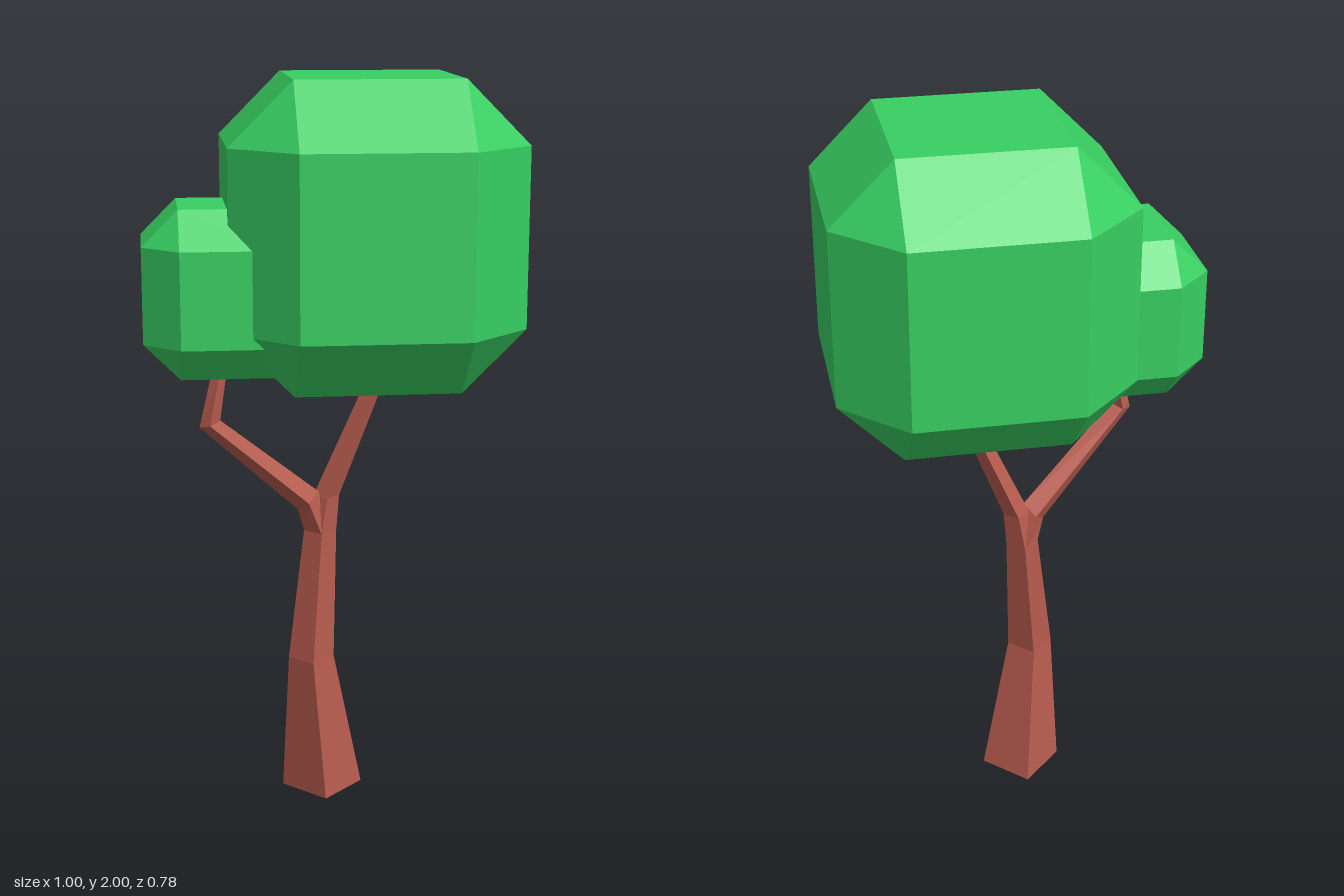
import * as THREE from 'three';
import { ConvexGeometry } from 'three/addons/geometries/ConvexGeometry.js';

const bark = new THREE.MeshStandardMaterial({ color: 0xb85c4e, flatShading: true });
const leaf = new THREE.MeshStandardMaterial({ color: 0x38cf62, flatShading: true });

// Box with bevelled edges and corners, from centre, half size and bevel width
function canopy(name, [cx, cy, cz], [hx, hy, hz], bevel) {
  const points = [];
  for (const sx of [-1, 1]) for (const sy of [-1, 1]) for (const sz of [-1, 1]) {
    for (let axis = 0; axis < 3; axis++) {
      const inset = [bevel, bevel, bevel];
      inset[axis] = 0;
      points.push(new THREE.Vector3(
        cx + sx * (hx - inset[0]), cy + sy * (hy - inset[1]), cz + sz * (hz - inset[2])));
    }
  }
  const mesh = new THREE.Mesh(new ConvexGeometry(points), leaf);
  mesh.name = name;
  return mesh;
}

// Four-sided limb through diamond sections: [x, y, z, radius, tilt about z in degrees]
function limb(name, sections) {
  const positions = [], index = [];
  for (const [x, y, z, r, tilt = 0] of sections) {
    const a = THREE.MathUtils.degToRad(tilt);
    for (let k = 0; k < 4; k++) {
      const u = [r, 0, -r, 0][k], w = [0, r, 0, -r][k];
      positions.push(x + u * Math.cos(a), y + u * Math.sin(a), z + w);
    }
  }
  for (let i = 0; i < sections.length - 1; i++) {
    for (let k = 0; k < 4; k++) {
      const a = i * 4 + k, b = i * 4 + (k + 1) % 4;
      index.push(a, a + 4, b, b, a + 4, b + 4);
    }
  }
  // End caps
  const t = (sections.length - 1) * 4;
  index.push(0, 1, 2, 0, 2, 3, t, t + 2, t + 1, t, t + 3, t + 2);
  const geometry = new THREE.BufferGeometry();
  geometry.setAttribute('position', new THREE.Float32BufferAttribute(positions, 3));
  geometry.setIndex(index);
  geometry.computeVertexNormals();
  const mesh = new THREE.Mesh(geometry, bark);
  mesh.name = name;
  return mesh;
}

export function createModel() {
  const tree = new THREE.Group();
  tree.name = 'tree';
  tree.add(
    // Trunk bends once and runs on into the main branch
    limb('trunk', [
      [-0.02, 0, 0, 0.112],
      [-0.053, 0.4, 0.033, 0.063],
      [-0.025, 0.76, 0.005, 0.045],
      [-0.008, 0.86, 0.003, 0.036],
      [0.13, 1.19, 0.002, 0.025],
      [0.19, 1.34, 0.002, 0.022],
    ]),
    // Side branch forks off, then turns up at an elbow
    limb('sideBranch', [
      [-0.025, 0.76, 0.005, 0.044],
      [-0.06, 0.852, 0.02, 0.038, 42],
      [-0.33, 1.102, 0.13, 0.029, 18],
      [-0.305, 1.23, 0.122, 0.02],
      [-0.295, 1.29, 0.118, 0.018],
    ]),
    canopy('mainCanopy', [0.1075, 1.595, 0], [0.3875, 0.405, 0.389], 0.168),
    canopy('sideCanopy', [-0.278, 1.455, 0.058], [0.222, 0.221, 0.221], 0.095),
  );
  return tree;
}
